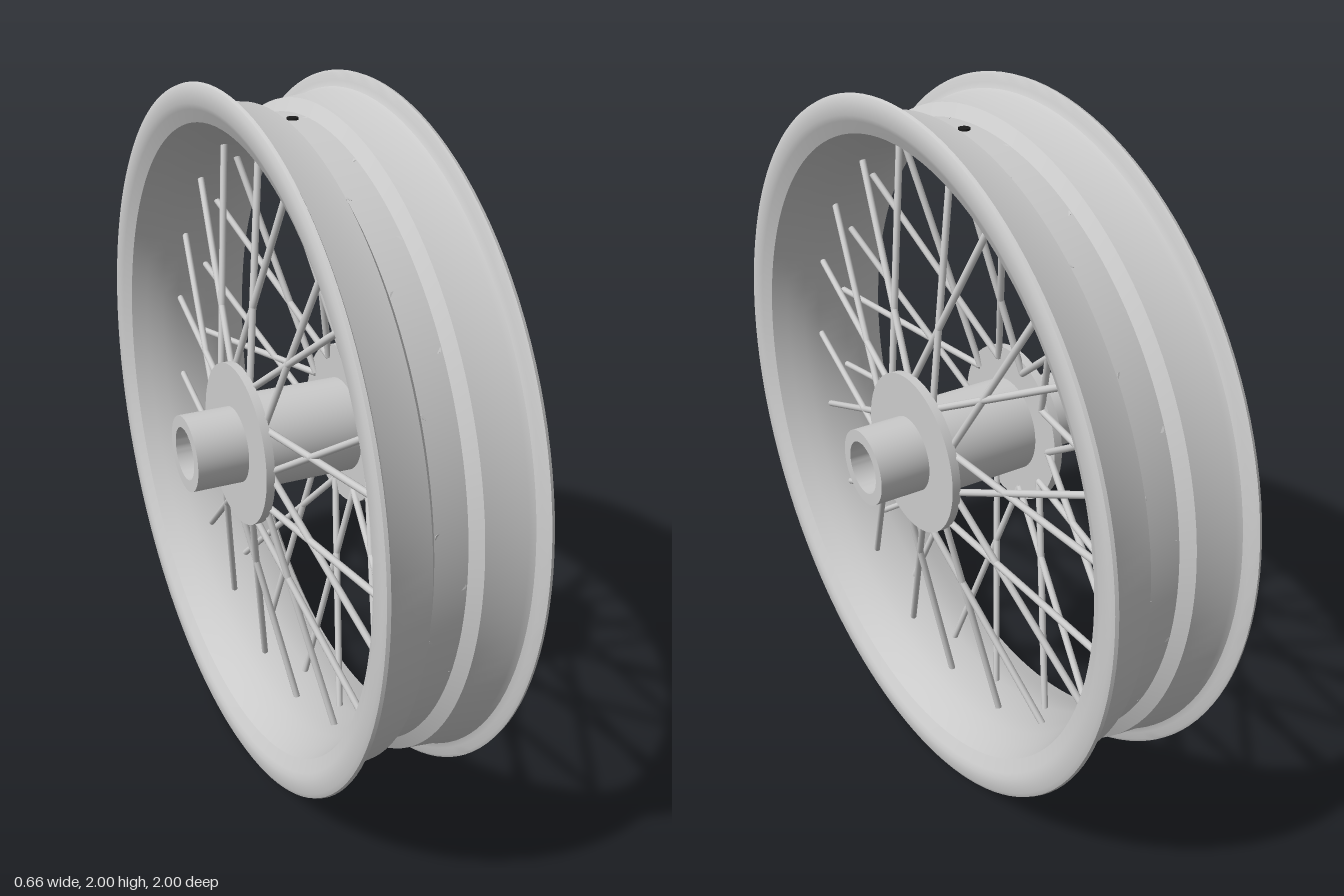
import * as THREE from 'three';
import { toCreasedNormals } from 'three/addons/utils/BufferGeometryUtils.js';

const grey = new THREE.MeshStandardMaterial({ color: 0xcccccc });
const black = new THREE.MeshStandardMaterial({ color: 0x1c1c1c });

// Mirrors half a profile of [x, radius] points (running from +x to the middle) to -x
const mirrored = (half) => [...half, ...half.map(([x, r]) => [-x, r]).reverse()];

// Turns a closed profile of [x, radius] points around the x axis
function turned(name, profile, segments) {
  const points = [...profile, profile[0]].map(([x, r]) => new THREE.Vector2(r, x));
  const geometry = new THREE.LatheGeometry(points, segments).rotateZ(-Math.PI / 2);
  const mesh = new THREE.Mesh(toCreasedNormals(geometry, 0.5), grey);
  mesh.name = name;
  return mesh;
}

// Round rod between two points
function rod(name, a, b, radius, sides, material) {
  const dir = b.clone().sub(a);
  const mesh = new THREE.Mesh(new THREE.CylinderGeometry(radius, radius, dir.length(), sides), material);
  mesh.position.copy(a).add(b).multiplyScalar(0.5);
  mesh.quaternion.setFromUnitVectors(new THREE.Vector3(0, 1, 0), dir.normalize());
  mesh.name = name;
  return mesh;
}

// Point at x, at a distance from the axle, angle measured from +z towards +y
const polar = (x, r, degrees) => {
  const a = THREE.MathUtils.degToRad(degrees);
  return new THREE.Vector3(x, r * Math.sin(a), r * Math.cos(a));
};

export function createModel() {
  const wheel = new THREE.Group();
  wheel.name = 'spokedWheel';
  wheel.position.y = 1;

  // Rim: drop-centre tyre bed outside, smooth shallow barrel inside
  const bed = [
    [0.216, 0.997], [0.207, 1], [0.202, 0.992], [0.2, 0.972], [0.193, 0.957],
    [0.178, 0.95], [0.068, 0.938], [0.045, 0.903],
  ];
  const barrel = [
    [0.222, 0.985], [0.222, 0.945], [0.215, 0.93], [0.198, 0.895],
    [0.15, 0.876], [0.1, 0.86], [0.05, 0.851],
  ];
  const outside = mirrored(bed).reverse();
  const inside = mirrored(barrel);
  wheel.add(turned('rim', [...outside, ...inside], 128));

  // Hub: axle tube with open bore, thicker centre barrel and two spoke flanges
  const hub = [[0.33, 0.11], [0.18, 0.11], [0.18, 0.235], [0.155, 0.235], [0.155, 0.138]];
  wheel.add(turned('hub', [...mirrored(hub).reverse(), [0.33, 0.076], [-0.33, 0.076]], 64));

  // Spokes: every other one goes to the opposite flange, leaning in crossed pairs
  const spokes = new THREE.Group();
  spokes.name = 'spokes';
  for (let k = 0; k < 40; k++) {
    const side = k % 2 ? -1 : 1;
    const lean = k % 4 === 0 || k % 4 === 3 ? -27 : 27;
    const inner = polar(side * 0.156, 0.2, k * 9 + lean);
    const outer = polar(side * 0.033, 0.902, k * 9);
    spokes.add(rod('spoke', inner, outer, 0.01, 10, grey));
  }
  wheel.add(spokes);

  // Valve stem through the top of the rim
  wheel.add(rod('valveStem', polar(0, 0.73, 90), polar(0, 0.908, 90), 0.016, 16, black));

  const model = new THREE.Group();
  model.name = 'model';
  model.add(wheel);
  return model;
}
